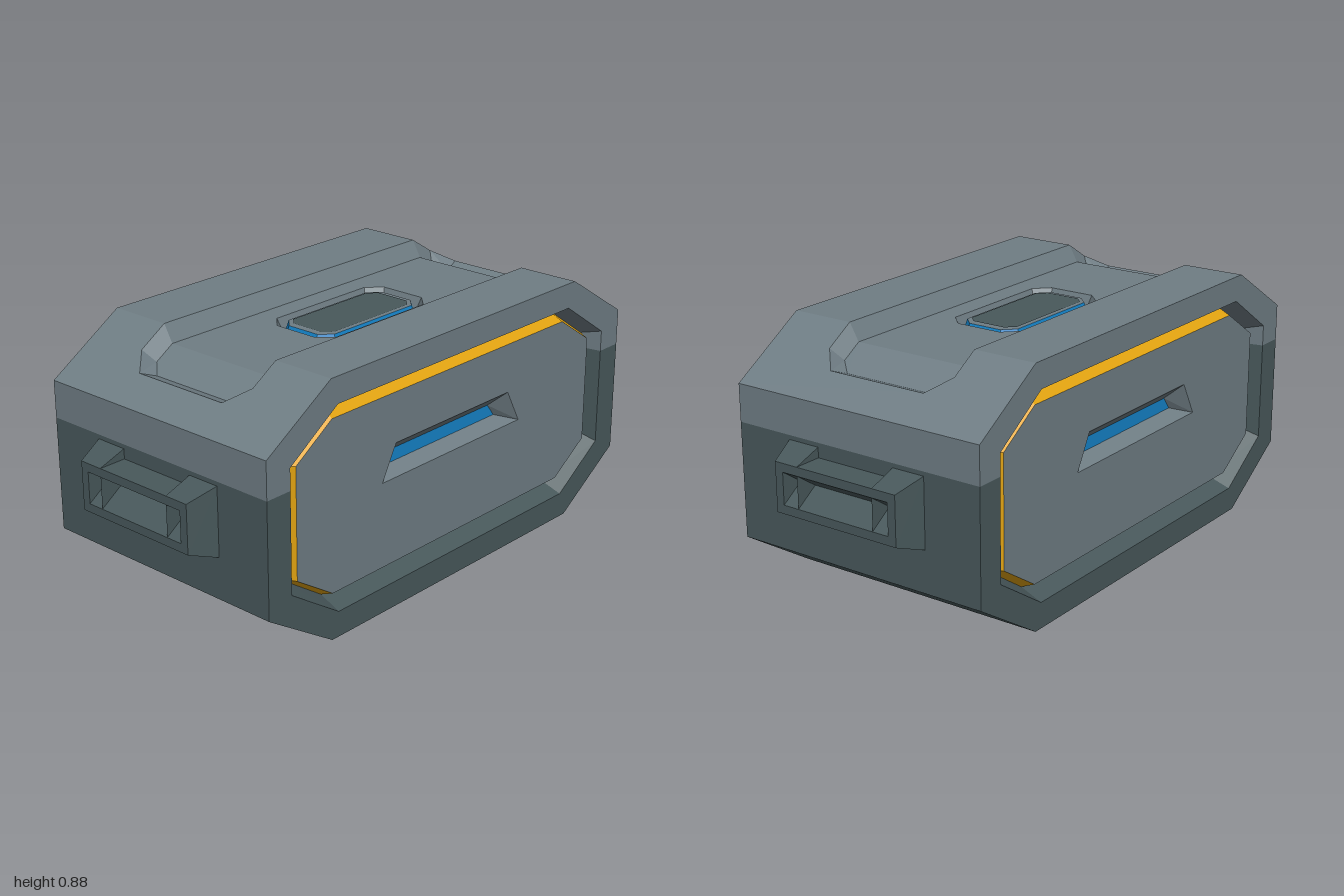
import * as THREE from 'three';

const paint = (name, color) => {
  const m = new THREE.MeshStandardMaterial({ color, side: THREE.DoubleSide });
  m.name = name;
  return m;
};

const SPLIT = 0.58;   // height where the light shell meets the dark base
const DEPTH = 0.48;   // half depth of the body
const MID = 0.62;     // half width of the flat top

// Height of the body's upper surface at a given x
const roof = x => 0.885 - Math.max(0, Math.abs(x) - MID) * 0.625;

// Mirror a list of [u, v] points in u, continuing the path
const mirrorU = pts => [...pts, ...pts.slice().reverse().map(([u, v]) => [-u, v])];

// Open half of a chamfered outline, from the split line round and back
const half = (hw, y, cx, cy) => mirrorU([[hw, SPLIT], [hw, y - cy], [hw - cx, y]]);

// Closed octagon centred on the origin
const octagon = (hw, hh, cut) => mirrorU([[hw - cut, -hh], [hw, -hh + cut], [hw, hh - cut], [hw - cut, hh]]);

const rect = (u0, u1, v0, v1) => [[u0, v0], [u1, v0], [u1, v1], [u0, v1]];

export function createModel() {
  const light = paint('light shell', 0x6f7d84);
  const dark = paint('dark base', 0x48585b);
  const orange = paint('orange trim', 0xe0a210);
  const blue = paint('blue trim', 0x1583c8);

  const model = new THREE.Group();
  model.name = 'crate';

  const add = (parent, name, geometry, material) => {
    const mesh = new THREE.Mesh(geometry, material);
    mesh.name = name;
    parent.add(mesh);
    return mesh;
  };

  // Flat-shaded band of quads between two matching rows of 3D points
  const band = (parent, name, a, b, material, closed = false) => {
    const pos = [];
    for (let i = 0; i < a.length - (closed ? 0 : 1); i++) {
      const j = (i + 1) % a.length;
      pos.push(...a[i], ...b[i], ...b[j], ...a[i], ...b[j], ...a[j]);
    }
    const g = new THREE.BufferGeometry();
    g.setAttribute('position', new THREE.Float32BufferAttribute(pos, 3));
    g.computeVertexNormals();
    return add(parent, name, g, material);
  };

  // Filled outline with optional holes, placed in space by map(u, v)
  const plate = (parent, name, outline, map, material, holes = []) => {
    const toV = pts => pts.map(([u, v]) => new THREE.Vector2(u, v));
    const shape = new THREE.Shape(toV(outline));
    holes.forEach(h => shape.holes.push(new THREE.Path(toV(h))));
    let g = new THREE.ShapeGeometry(shape);
    const p = g.attributes.position;
    for (let i = 0; i < p.count; i++) p.setXYZ(i, ...map(p.getX(i), p.getY(i)));
    g = g.toNonIndexed();
    g.computeVertexNormals();
    return add(parent, name, g, material);
  };

  const atZ = z => (x, y) => [x, y, z];
  const atY = y => (x, z) => [x, y, -z];
  const put = (pts, map) => pts.map(([u, v]) => map(u, v));

  // Outer shell: underside and lower sides, then upper sides
  const lowerRim = half(0.9, 0, 0.28, -0.18);
  const upperRim = half(0.9, 0.885, 0.28, 0.175);
  band(model, 'lowerShell', put(lowerRim, atZ(DEPTH)), put(lowerRim, atZ(-DEPTH)), dark);
  for (const s of [1, -1]) {
    const side = [[s * 0.9, SPLIT], [s * 0.9, 0.71]];
    band(model, 'upperSide', put(side, atZ(s * DEPTH)), put(side, atZ(-s * DEPTH)), light);
  }

  // Front face: frame, groove wall, trimmed raised panel and grip slot
  const front = new THREE.Group();
  front.name = 'frontFace';
  const panelZ = 0.455, grooveZ = 0.4;
  const halves = [
    { rim: upperRim, open: half(0.8, 0.795, 0.21, 0.14), groove: half(0.785, 0.77, 0.2, 0.135),
      panel: half(0.75, 0.74, 0.16, 0.105), mat: light },
    { rim: lowerRim, open: half(0.8, 0.09, 0.21, -0.14), groove: half(0.785, 0.12, 0.2, -0.135),
      panel: half(0.75, 0.145, 0.16, -0.105), mat: dark },
  ];
  for (const h of halves) {
    plate(front, 'frame', [...h.rim, ...h.open.slice().reverse()], atZ(DEPTH), h.mat);
    band(front, 'grooveWall', put(h.open, atZ(DEPTH)), put(h.groove, atZ(grooveZ)), h.mat);
    band(front, 'orangeTrim', put(h.groove, atZ(grooveZ)), put(h.panel, atZ(panelZ)), orange);
  }
  const slot = [[-0.355, 0.445], [0.355, 0.445], [0.29, 0.565], [-0.29, 0.565]];
  const slotBack = [[-0.285, 0.47], [0.285, 0.47], [0.25, 0.515], [-0.25, 0.515]];
  const panel = [...halves[0].panel, ...halves[1].panel.slice(1, -1).reverse()];
  plate(front, 'panel', panel, atZ(panelZ), light, [slot]);
  band(front, 'slotWall', put(slot, atZ(panelZ)), put(slotBack, atZ(grooveZ)), light, true);
  plate(front, 'slotBack', slotBack, atZ(grooveZ), blue);
  model.add(front);
  const back = front.clone();
  back.name = 'backFace';
  back.rotation.y = Math.PI;
  model.add(back);

  // Top: flat strips and sloped shoulders around the long recess
  const onRoof = drop => (x, z) => [x, roof(x) - drop, -z];
  const sink = 0.06;
  const rimEnd = [[MID, 0.25], [0.72, 0.25], [0.79, 0.185], [0.79, -0.185], [0.72, -0.25], [MID, -0.25]];
  const floorEnd = [[MID, 0.215], [0.69, 0.215], [0.73, 0.17], [0.73, -0.17], [0.69, -0.215], [MID, -0.215]];
  const turn = pts => pts.map(([x, z]) => [-x, -z]);
  for (const s of [1, -1]) {
    plate(model, 'topStrip', rect(-MID, MID, s * 0.25, s * DEPTH), onRoof(0), light);
    const spin = pts => (s > 0 ? pts : turn(pts));
    plate(model, 'shoulder', spin([[MID, -DEPTH], [0.9, -DEPTH], [0.9, DEPTH], [MID, DEPTH], ...rimEnd]), onRoof(0), light);
    plate(model, 'recessFloorEnd', spin(floorEnd), onRoof(sink), light);
  }
  band(model, 'recessWall', put([...rimEnd, ...turn(rimEnd)], onRoof(0)),
    put([...floorEnd, ...turn(floorEnd)], onRoof(sink)), light, true);

  // Centre of the top: well with a blue-edged raised pad
  const well = octagon(0.27, 0.135, 0.05);
  const wellBase = octagon(0.25, 0.117, 0.045);
  const pad = octagon(0.235, 0.104, 0.04);
  plate(model, 'recessFloor', rect(-MID, MID, -0.215, 0.215), onRoof(sink), light, [well]);
  band(model, 'wellWall', put(well, atY(0.825)), put(wellBase, atY(0.77)), light, true);
  band(model, 'blueTrim', put(wellBase, atY(0.77)), put(pad, atY(0.82)), blue, true);
  plate(model, 'pad', pad, atY(0.82), light);
  plate(model, 'padInlay', octagon(0.215, 0.093, 0.03), atY(0.823), dark);

  // End handles: bar with a V-shaped grip and four flared corners
  const handle = new THREE.Group();
  handle.name = 'leftHandle';
  const atX = x => (z, y) => [x, y, -z];
  const grip = rect(-0.21, 0.21, 0.39, 0.5);
  plate(handle, 'handleFace', rect(-0.24, 0.24, 0.36, 0.53), atX(1), dark, [grip]);
  band(handle, 'gripRecess', put(grip, atX(1)), put(rect(-0.21, 0.21, 0.445, 0.445), atX(0.92)), dark, true);
  for (const y of [0.36, 0.53]) {
    const edge = [[-0.15, y], [0.15, y]];
    band(handle, 'handleBar', put(edge, atX(1)), put(edge, atX(0.9)), dark);
  }
  for (const s of [1, -1]) {
    band(handle, 'handleFoot', put(rect(s * 0.15, s * 0.24, 0.36, 0.53), atX(1)),
      put(rect(s * 0.15, s * 0.27, 0.325, 0.565), atX(0.9)), dark, true);
  }
  model.add(handle);
  const other = handle.clone();
  other.name = 'rightHandle';
  other.rotation.y = Math.PI;
  model.add(other);

  return model;
}
